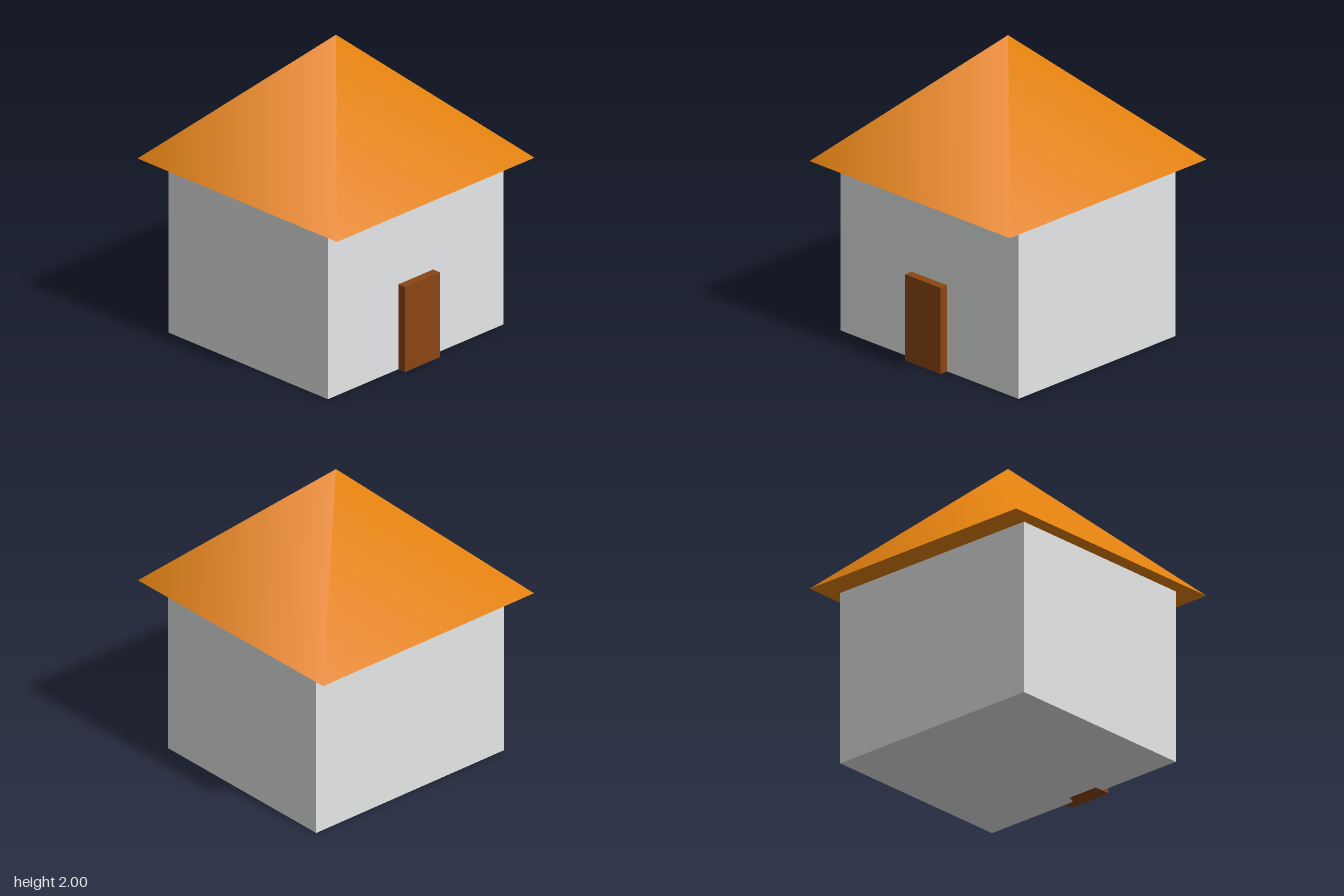
import * as THREE from 'three';

const WALL_HEIGHT = 1.16;
const ROOF_HALF_WIDTH = 0.866;

function material(name, color) {
  const m = new THREE.MeshStandardMaterial({ color });
  m.name = name;
  return m;
}

export function createModel() {
  const group = new THREE.Group();
  group.name = 'house';

  const add = (name, geometry, mat, x, y, z) => {
    const mesh = new THREE.Mesh(geometry, mat);
    mesh.name = name;
    mesh.position.set(x, y, z);
    group.add(mesh);
    return mesh;
  };

  // Walls
  add('walls', new THREE.BoxGeometry(1.54, WALL_HEIGHT, 1.385),
    material('off-white plaster', 0xf8f9fa), 0, WALL_HEIGHT / 2, 0);

  // Pyramid roof: four-sided smooth-shaded cone, turned square to the walls
  const roofHeight = 2 - WALL_HEIGHT;
  const roof = new THREE.ConeGeometry(ROOF_HALF_WIDTH * Math.SQRT2, roofHeight, 4);
  roof.rotateY(Math.PI / 4);
  add('roof', roof, material('orange roof', 0xe5820f),
    0, WALL_HEIGHT + roofHeight / 2, 0);

  // Door slab standing proud of the front wall
  add('door', new THREE.BoxGeometry(0.306, 0.578, 0.116),
    material('brown wood', 0x8b4513), 0, 0.289, 0.693);

  return group;
}
